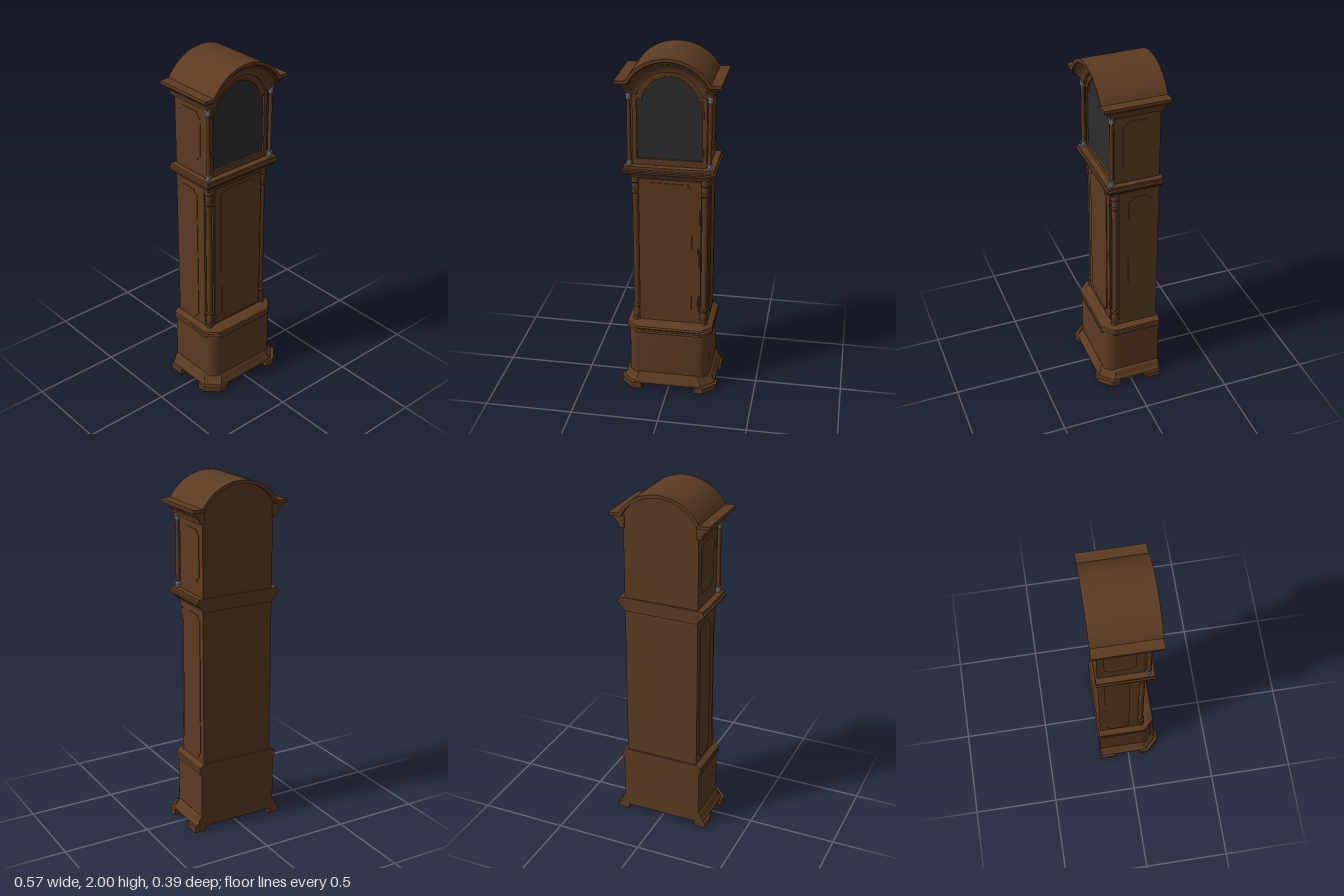
import * as THREE from 'three';
import { toCreasedNormals } from 'three/addons/utils/BufferGeometryUtils.js';

export function createModel() {
  const root = new THREE.Group();
  root.name = 'longcaseClock';
  const material = (name, color) => {
    const m = new THREE.MeshStandardMaterial({ color });
    m.name = name;
    return m;
  };
  const wood = material('walnutWood', 0x5c3b22);
  const glass = material('darkDial', 0x2d2d2d);
  const metal = material('silverMetal', 0x8f979c);

  function add(name, geometry, mat = wood, x = 0, y = 0, z = 0) {
    const m = new THREE.Mesh(geometry, mat);
    m.name = name;
    m.position.set(x, y, z);
    root.add(m);
    return m;
  }

  // Skin over rows of [x, y, z] points, listed bottom to top
  function skin(rows, closed) {
    const n = rows[0].length, pos = [], idx = [];
    rows.forEach(r => r.forEach(p => pos.push(...p)));
    for (let r = 0; r < rows.length - 1; r++)
      for (let i = 0; i < (closed ? n : n - 1); i++) {
        const j = (i + 1) % n, a = r * n + i, b = r * n + j;
        idx.push(a, b, b + n, a, b + n, a + n);
      }
    if (closed) {
      const t = (rows.length - 1) * n;
      for (let i = 1; i < n - 1; i++) idx.push(t, t + i, t + i + 1, 0, i + 1, i);
    }
    const g = new THREE.BufferGeometry();
    g.setAttribute('position', new THREE.Float32BufferAttribute(pos, 3));
    g.setIndex(idx);
    return toCreasedNormals(g, 0.5);
  }

  // Stacked plan outlines: profile entries are [y, halfWidth, frontZ], front corners cut by c
  function tier(profile, back, c, seg) {
    return skin(profile.map(([y, hw, zf]) => {
      const corner = [];
      for (let i = 0; i <= seg; i++) {
        const a = Math.PI / 2 * (seg ? i / seg : 0);
        corner.push([hw - c + c * Math.sin(a), y, zf - c + c * Math.cos(a)]);
      }
      const left = corner.map(([x, yy, z]) => [-x, yy, z]).reverse();
      return [...corner, [hw, y, back], [-hw, y, back], ...left];
    }), true);
  }

  const toShape = pts => new THREE.Shape(pts.map(p => new THREE.Vector2(p[0], p[1])));
  const extrude = (shape, depth) => toCreasedNormals(
    new THREE.ExtrudeGeometry(shape, { depth, bevelEnabled: false, curveSegments: 12 }), 0.5);

  // Line of the arched hood, left to right, lowered by d
  function archLine(hw, d) {
    const R = 0.267 - d, cy = 1.733, ys = 1.87 - d;
    const a0 = Math.asin((ys - cy) / R), pts = [[-hw, ys]];
    for (let i = 0; i <= 32; i++) {
      const a = Math.PI - a0 - (Math.PI - 2 * a0) * i / 32;
      pts.push([R * Math.cos(a), cy + R * Math.sin(a)]);
    }
    pts.push([hw, ys]);
    return pts;
  }

  // Rectangle with scooped corners
  function panelShape(w, h, n) {
    const s = new THREE.Shape(), x = w / 2, y = h / 2;
    s.moveTo(-x + n, -y);
    s.lineTo(x - n, -y);
    s.quadraticCurveTo(x - n, -y + n, x, -y + n);
    s.lineTo(x, y - n);
    s.quadraticCurveTo(x - n, y - n, x - n, y);
    s.lineTo(-x + n, y);
    s.quadraticCurveTo(-x + n, y - n, -x, y - n);
    s.lineTo(-x, -y + n);
    s.quadraticCurveTo(-x + n, -y + n, -x + n, -y);
    return s;
  }

  // Bracket feet, each a flat plan outline in x and z
  const frontFoot = [[0.155, 0.195], [0.21, 0.195], [0.28, 0.125], [0.28, 0.075],
    [0.23, 0.075], [0.23, 0.11], [0.2, 0.14], [0.155, 0.14]];
  const backFoot = [[0.28, -0.085], [0.28, -0.175], [0.21, -0.175], [0.21, -0.145], [0.235, -0.085]];
  for (const s of [1, -1])
    for (const [name, plan] of [['frontFoot', frontFoot], ['backFoot', backFoot]]) {
      const g = extrude(toShape(plan.map(([x, z]) => [x * s, -z])), 0.035);
      g.rotateX(-Math.PI / 2);
      add(name, g);
    }

  // Base with its plinth and upper moulding
  add('plinthMoulding', tier([[0.03, 0.268, 0.183], [0.045, 0.265, 0.18], [0.055, 0.256, 0.172],
    [0.075, 0.25, 0.166], [0.085, 0.245, 0.16], [0.092, 0.236, 0.155]], -0.175, 0.07, 1));
  add('baseCase', tier([[0.085, 0.235, 0.153], [0.37, 0.235, 0.153]], -0.175, 0.065, 6));
  add('baseMoulding', tier([[0.355, 0.236, 0.154], [0.36, 0.247, 0.163], [0.375, 0.247, 0.163],
    [0.38, 0.24, 0.157], [0.39, 0.25, 0.165], [0.4, 0.246, 0.16], [0.408, 0.232, 0.14],
    [0.415, 0.22, 0.12]], -0.175, 0.06, 1));

  // Trunk with notched front corners
  const trunk = extrude(toShape([[-0.175, -0.095], [0.175, -0.095], [0.175, -0.065], [0.215, -0.065],
    [0.215, 0.165], [-0.215, 0.165], [-0.215, -0.065], [-0.175, -0.065]]), 0.92);
  trunk.rotateX(-Math.PI / 2);
  add('trunkCase', trunk, wood, 0, 0.4, 0);
  add('trunkDoor', new THREE.BoxGeometry(0.335, 0.875, 0.01), wood, 0, 0.862, 0.097);
  add('trunkDoorPanel', extrude(panelShape(0.25, 0.83, 0.022), 0.005), wood, 0, 0.865, 0.101);
  for (const y of [0.55, 0.88])
    add('doorHinge', new THREE.CylinderGeometry(0.005, 0.005, 0.035, 8), wood, 0.163, y, 0.102);

  // Turned corner columns on the trunk
  const turned = [[0, 0.41], [0.024, 0.41], [0.024, 0.43], [0.018, 0.435], [0.022, 0.455], [0.018, 0.475],
    [0.018, 0.49], [0.024, 0.495], [0.024, 0.505], [0.017, 0.512], [0.017, 1.205], [0.023, 1.212],
    [0.023, 1.222], [0.018, 1.228], [0.022, 1.25], [0.018, 1.268], [0.024, 1.275], [0.024, 1.315], [0, 1.315]];
  const lathe = pts => toCreasedNormals(
    new THREE.LatheGeometry(pts.map(p => new THREE.Vector2(p[0], p[1])), 20), 0.6);
  for (const s of [1, -1]) add('trunkColumn', lathe(turned), wood, 0.194 * s, 0, 0.081);

  // Moulding that carries the hood
  add('waistMoulding', tier([[1.305, 0.217, 0.107], [1.318, 0.222, 0.11], [1.33, 0.232, 0.12],
    [1.338, 0.242, 0.13], [1.345, 0.242, 0.13], [1.35, 0.255, 0.143], [1.362, 0.256, 0.145],
    [1.366, 0.248, 0.138], [1.382, 0.248, 0.138]], -0.175, 0, 0));

  // Hood body, arched door frame and dial
  add('hoodCase', extrude(toShape([[0.215, 1.375], [-0.215, 1.375], ...archLine(0.215, 0.015)]), 0.255),
    wood, 0, 0, -0.165);
  function dialOutline(hw, bottom, shoulder, R) {
    const cy = 1.73, a0 = Math.asin((shoulder - cy) / R), pts = [[-hw, bottom], [hw, bottom], [hw, shoulder]];
    for (let i = 0; i <= 28; i++) {
      const a = a0 + (Math.PI - 2 * a0) * i / 28;
      pts.push([R * Math.cos(a), cy + R * Math.sin(a)]);
    }
    pts.push([-hw, shoulder]);
    return pts;
  }
  function frame(name, outer, inner, depth, z) {
    const s = toShape(outer);
    s.holes.push(toShape(inner));
    add(name, extrude(s, depth), wood, 0, 0, z);
  }
  const opening = dialOutline(0.178, 1.42, 1.752, 0.152);
  frame('hoodDoorFrame', dialOutline(0.203, 1.383, 1.785, 0.187), opening, 0.013, 0.09);
  frame('dialBead', dialOutline(0.186, 1.412, 1.76, 0.16), opening, 0.004, 0.103);
  add('dial', extrude(toShape(dialOutline(0.18, 1.418, 1.754, 0.154)), 0.006), glass, 0, 0, 0.09);

  // Free-standing hood columns with metal capitals and bases
  const cap = [[0, -0.014], [0.015, -0.014], [0.015, -0.008], [0.011, -0.004], [0.013, 0.003],
    [0.016, 0.008], [0.016, 0.014], [0, 0.014]];
  for (const s of [1, -1]) {
    const x = 0.22 * s, z = 0.11;
    add('hoodColumn', new THREE.CylinderGeometry(0.01, 0.012, 0.38, 20), wood, x, 1.585, z);
    add('columnCapital', lathe(cap), metal, x, 1.775, z);
    add('columnBase', lathe(cap), metal, x, 1.396, z);
  }

  // Cornice: a cove that returns along the sides and follows the arch in front
  const cove = [[0.205, 0.085], [0.235, 0.085], [0.237, 0.072], [0.243, 0.058], [0.254, 0.044],
    [0.266, 0.034], [0.268, 0.026], [0.277, 0.022], [0.28, 0.014]];
  add('hoodCornice', skin(cove.map(([hw, d]) => {
    const front = archLine(hw, d).map(([x, y]) => [x, y, hw - 0.115]);
    return [[-hw, 1.87 - d, -0.175], ...front, [hw, 1.87 - d, -0.175]];
  }), false)).material = wood;
  // Closing pieces at the back ends of the cornice
  for (const s of [1, -1]) {
    const end = [...cove.map(([hw, d]) => [hw * s, 1.87 - d]), [0.205 * s, 1.856]];
    add('corniceEnd', extrude(toShape(end), 0.006), wood, 0, 0, -0.176);
  }
  const roof = [...archLine(0.285, 0), ...archLine(0.285, 0.018).reverse()];
  add('archedRoof', extrude(toShape(roof), 0.365), wood, 0, 0, -0.195);

  // Side panels on the hood and trunk
  for (const s of [1, -1])
    for (const [name, w, h, y, z, n] of [['hoodSidePanel', 0.17, 0.285, 1.602, -0.042, 0.025],
      ['trunkSidePanel', 0.14, 0.84, 0.855, -0.06, 0.025]]) {
      add(name, extrude(panelShape(w, h, n), 0.004), wood, 0.214 * s, y, z).rotation.y = s * Math.PI / 2;
    }
  return root;
}
